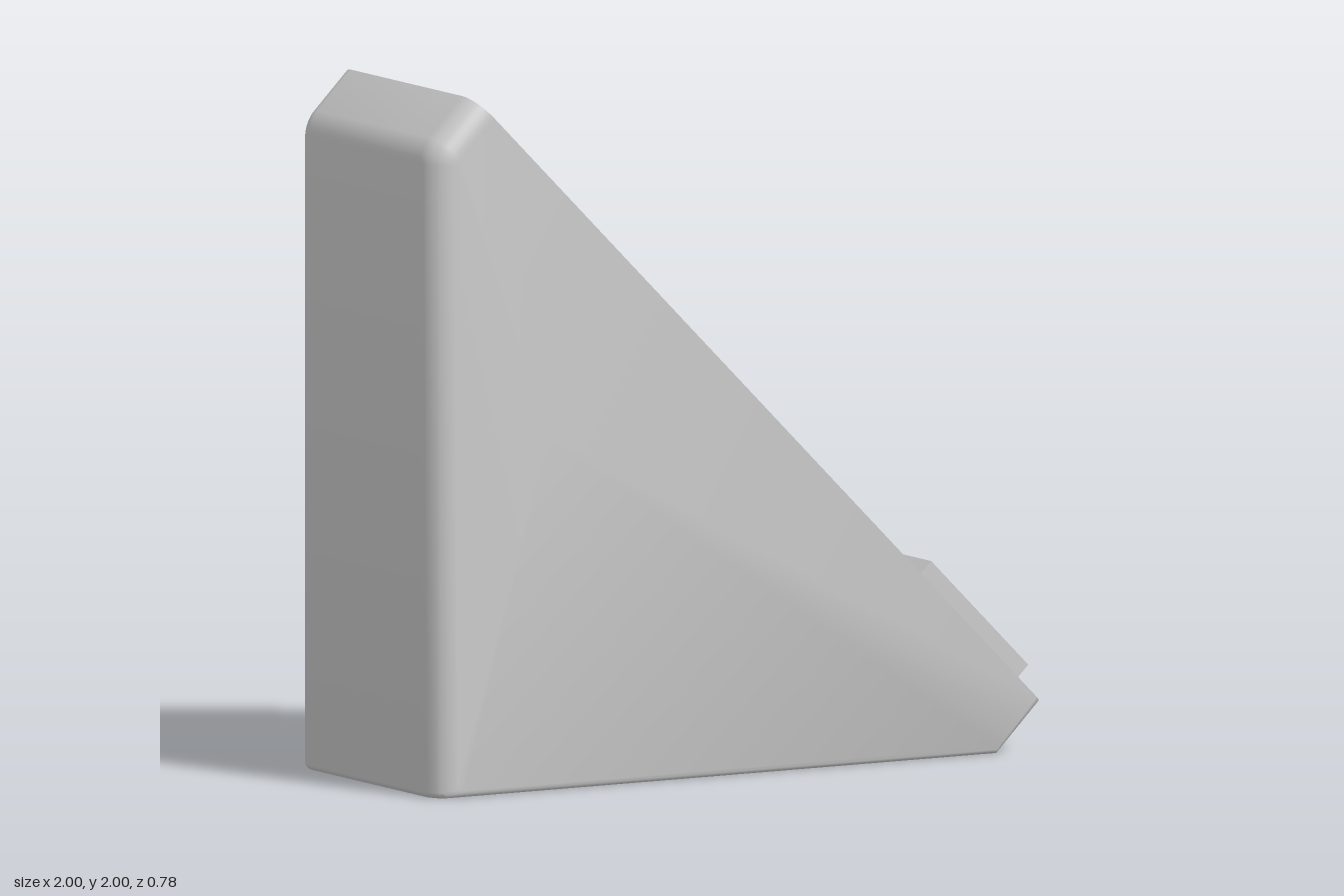
import * as THREE from 'three';
import { toCreasedNormals } from 'three/addons/utils/BufferGeometryUtils.js';

const R2 = Math.SQRT2, HALF = 0.39, BIG = 0.08, SMALL = 0.02;
const RIM = 1.14 / R2, FLOOR = 0.87 / R2;      // heights along the slope's normal
const rad = (d) => d * Math.PI / 180;

// Skin over a list of rings, with optional fan caps
function loft(rings, closed, startCap, endCap) {
  const pos = [];
  const tri = (...p) => p.forEach((v) => pos.push(v.x, v.y, v.z));
  const n = rings[0].length;
  for (let k = 0; k < rings.length - 1; k++) {
    for (let i = 0; i < (closed ? n : n - 1); i++) {
      const j = (i + 1) % n;
      const a = rings[k][i], b = rings[k][j], c = rings[k + 1][j], d = rings[k + 1][i];
      tri(a, d, b);
      tri(b, d, c);
    }
  }
  const cap = (ring, flip) => {
    const mid = ring.reduce((s, p) => s.add(p), new THREE.Vector3()).divideScalar(n);
    ring.forEach((p, i) => {
      const q = ring[(i + 1) % n];
      if (flip) tri(mid, q, p); else tri(mid, p, q);
    });
  };
  if (startCap) cap(rings[0], false);
  if (endCap) cap(rings[rings.length - 1], true);
  const g = new THREE.BufferGeometry();
  g.setAttribute('position', new THREE.Float32BufferAttribute(pos, 3));
  return toCreasedNormals(g, 0.6);
}

// How far a fillet of radius r pulls an edge in, at distance s from the side face
const filletInset = (r, s) => (s < r ? r - Math.sqrt(r * r - (r - s) ** 2) : 0);

// Wedge outline at distance s from the side face, as intersections of its edge lines
function wedgeRing(s, z) {
  const A = filletInset(BIG, s), B = filletInset(SMALL, s);
  const lines = [[45, RIM]];
  const arc = (from, to, steps, cx, cy, r) => {
    for (let i = 0; i <= steps; i++) {
      const a = from + (to - from) * i / steps;
      lines.push([a, Math.cos(rad(a)) * cx + Math.sin(rad(a)) * cy + r]);
    }
  };
  arc(135, 180, 6, -0.88, 1.81, 0.12 - A);                        // top end and back
  arc(202.5, 270, 3, -1 + SMALL + A, SMALL + B, SMALL);           // heel and bottom
  lines.push([315, 0.86 / R2 - B]);                               // toe
  return lines.map(([a, d], i) => {
    const [b, e] = lines[(i + 1) % lines.length];
    const det = Math.sin(rad(b - a));
    return new THREE.Vector3(
      (d * Math.sin(rad(b)) - e * Math.sin(rad(a))) / det,
      (e * Math.cos(rad(a)) - d * Math.cos(rad(b))) / det, z);
  });
}

// Rounded rectangle points, counter-clockwise
function roundedRect(x0, x1, h, r) {
  const pts = [];
  [[x1 - r, h - r], [x0 + r, h - r], [x0 + r, r - h], [x1 - r, r - h]].forEach(([cx, cy], q) => {
    for (let i = 0; i <= 4; i++) {
      const a = (q + i / 4) * Math.PI / 2;
      pts.push(new THREE.Vector2(cx + r * Math.cos(a), cy + r * Math.sin(a)));
    }
  });
  return pts;
}

export function createModel() {
  const model = new THREE.Group();
  model.name = 'wedgeBox';
  const mat = new THREE.MeshStandardMaterial({ color: 0xcccccc });
  const add = (parent, name, geo) => {
    const m = new THREE.Mesh(geo, mat);
    m.name = name;
    parent.add(m);
    return m;
  };

  // Outer shell: rings from the left side to the right side
  const steps = [];
  for (let i = 0; i <= 8; i++) steps.push(BIG * (1 - Math.cos(rad(90 * i / 8))));
  for (let i = 1; i <= 4; i++) steps.push(SMALL * (1 - Math.cos(rad(90 * i / 4))));
  steps.sort((a, b) => a - b);
  const rings = [
    ...steps.map((s) => wedgeRing(s, HALF - s)),
    ...steps.slice().reverse().map((s) => wedgeRing(s, s - HALF)),
  ];
  add(model, 'shell', loft(rings, false, true, true));

  // Sloping front: local x runs down the slope, local y points out of it
  const slope = new THREE.Group();
  slope.name = 'slopingFront';
  slope.rotation.z = -Math.PI / 4;
  model.add(slope);

  // Flat rim around the recess
  const top = -2.83 / R2, bottom = 0.82 / R2, inner = 0.36, corner = 0.032;
  const onSlope = (p) => new THREE.Vector2((p.x - p.y) / R2, p.z);
  const outline = [
    ...rings.map((r) => onSlope(r[0])),
    ...rings.map((r) => onSlope(r[r.length - 1])).reverse(),
  ];
  const rimShape = new THREE.Shape(outline);
  rimShape.holes.push(new THREE.Path(roundedRect(top, bottom, inner, corner)));
  const rim = add(slope, 'rim', new THREE.ShapeGeometry(rimShape).rotateX(-Math.PI / 2));
  rim.position.y = RIM;

  // Recess with a filleted floor
  const f = 0.03;
  const trayRing = (inset, y) =>
    roundedRect(top + inset, bottom - inset, inner - inset, corner - inset)
      .map((p) => new THREE.Vector3(p.x, y, p.y));
  const trayRings = [trayRing(0, RIM)];
  for (let i = 0; i <= 6; i++) {
    const a = rad(90 * i / 6);
    trayRings.push(trayRing(f * (1 - Math.cos(a)), FLOOR + f * (1 - Math.sin(a))));
  }
  add(slope, 'recess', loft(trayRings, true, false, true));

  // Block standing on the recess floor near the toe
  const u0 = 0.11 / R2, u1 = 0.75 / R2, n1 = 1.23 / R2;
  const block = add(slope, 'block', new THREE.BoxGeometry(u1 - u0, n1 - FLOOR, 0.67));
  block.position.set((u0 + u1) / 2, (FLOOR + n1) / 2, 0);

  return model;
}
